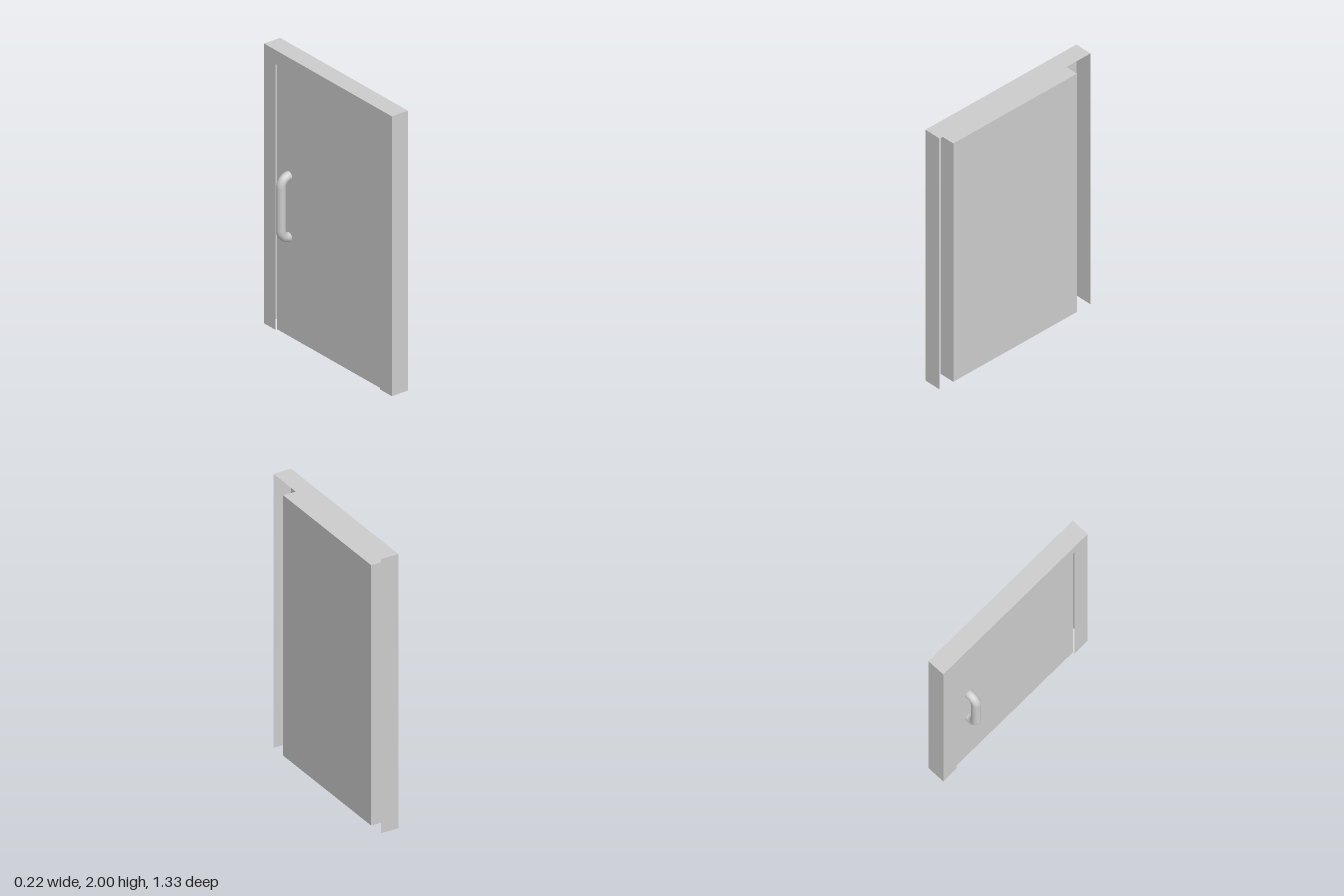
import * as THREE from 'three';

const H = 2, HALF = 0.665;             // outer casing height and half width
const DOOR_H = 1.9, DOOR_HALF = 0.545; // door leaf height and half width
const BACK = -0.023, FRONT = 0.109;    // casing depth along x

export function createModel() {
  const group = new THREE.Group();
  const mat = new THREE.MeshStandardMaterial({ color: 0xcccccc, side: THREE.DoubleSide });
  const add = (name, geo) => {
    const mesh = new THREE.Mesh(geo, mat);
    mesh.name = name;
    group.add(mesh);
    return mesh;
  };
  const depth = FRONT - BACK, midX = (FRONT + BACK) / 2;

  // Casing face: thin sheet with the door opening cut out at the bottom
  const face = new THREE.Shape([
    [-HALF, 0], [-HALF, H], [HALF, H], [HALF, 0],
    [DOOR_HALF, 0], [DOOR_HALF, DOOR_H], [-DOOR_HALF, DOOR_H], [-DOOR_HALF, 0],
  ].map(([z, y]) => new THREE.Vector2(z, y)));
  const faceGeo = new THREE.ShapeGeometry(face).rotateY(-Math.PI / 2);
  add('casingFace', faceGeo).position.x = BACK;

  // Casing returns: thin sheets down both sides and across the top
  for (const s of [-1, 1]) {
    const side = new THREE.PlaneGeometry(depth, H);
    if (s < 0) side.rotateY(Math.PI);
    add(s < 0 ? 'casingSideBack' : 'casingSideFront', side).position.set(midX, H / 2, s * HALF);
  }
  add('casingTop', new THREE.PlaneGeometry(depth, 2 * HALF).rotateX(-Math.PI / 2))
    .position.set(midX, H, 0);

  // Door leaf, slightly recessed behind the casing face
  const doorBack = BACK + 0.014;
  add('doorLeaf', new THREE.BoxGeometry(FRONT - doorBack, DOOR_H, 2 * DOOR_HALF))
    .position.set((FRONT + doorBack) / 2, DOOR_H / 2, 0);

  // Pull handle: bar with rounded bends into the door
  const r = 0.032, x = -0.109 + r, lo = 0.68 + r, hi = 1.18 - r, bend = 0.066, k = bend * 0.45;
  const p = (px, py) => new THREE.Vector3(px, py, -0.42);
  const path = new THREE.CurvePath();
  path.add(new THREE.CubicBezierCurve3(p(x + bend, hi), p(x + k, hi), p(x, hi - k), p(x, hi - bend)));
  path.add(new THREE.LineCurve3(p(x, hi - bend), p(x, lo + bend)));
  path.add(new THREE.CubicBezierCurve3(p(x, lo + bend), p(x, lo + k), p(x + k, lo), p(x + bend, lo)));
  add('pullHandle', new THREE.TubeGeometry(path, 48, r, 12, false));

  return group;
}
